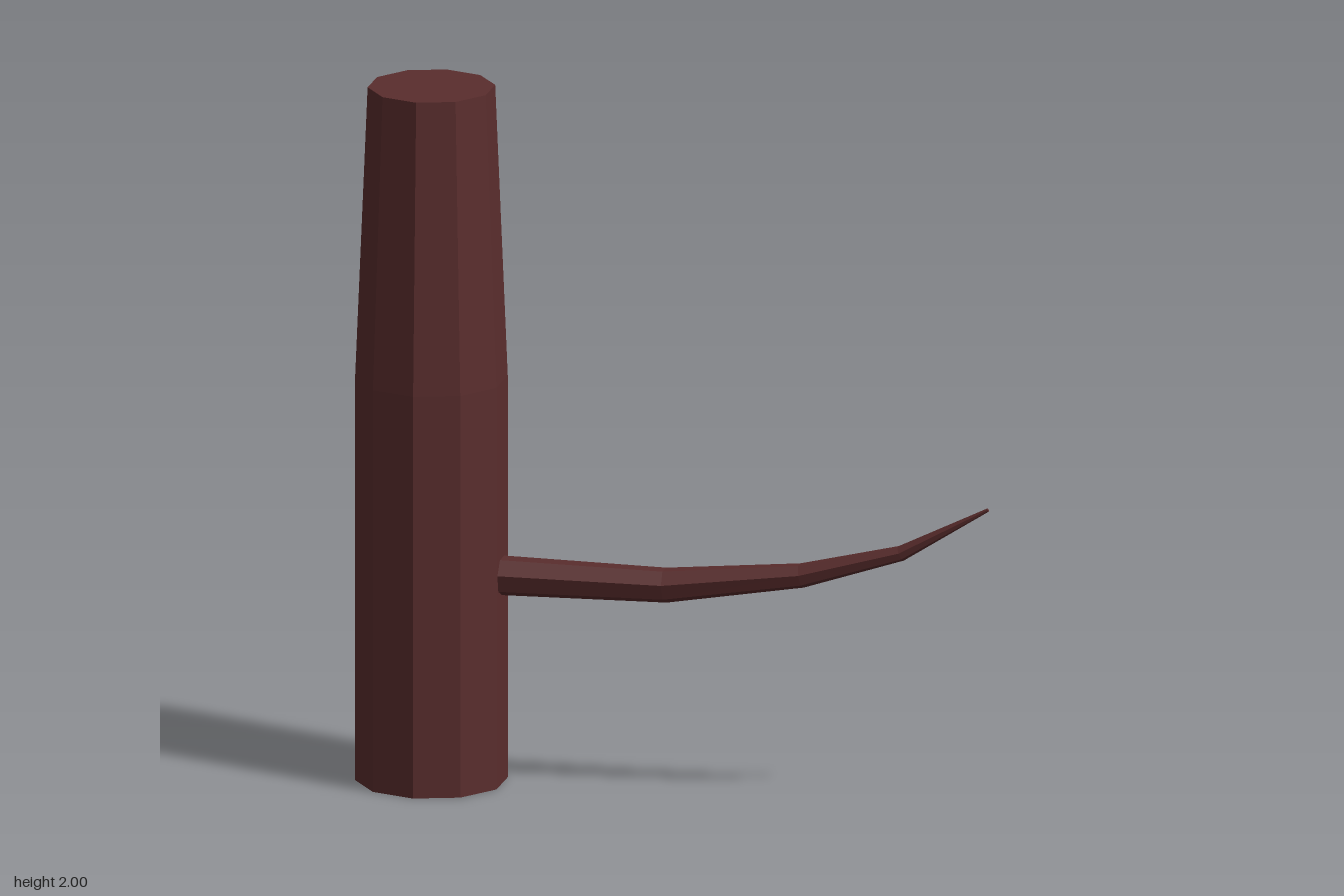
import * as THREE from 'three';

const darkWood = new THREE.MeshStandardMaterial({ color: 0x5a2d2d });

// Gives every face its own flat normal
function faceted(geometry) {
  const flat = geometry.index ? geometry.toNonIndexed() : geometry;
  flat.computeVertexNormals();
  return flat;
}

// Sweeps a tapering polygon along a path in the xy plane; stations are [x, y, radius]
function taperedSweep(stations, sides) {
  const centres = stations.map(([x, y]) => new THREE.Vector3(x, y, 0));
  const last = centres.length - 1;
  const rings = stations.map(([, , radius], i) => {
    const before = centres[Math.max(i - 1, 0)];
    const after = centres[Math.min(i + 1, last)];
    const t = after.clone().sub(before).normalize();
    return Array.from({ length: sides }, (_, j) => {
      const a = (j / sides) * Math.PI * 2;
      const up = -Math.cos(a) * radius;
      return new THREE.Vector3(-t.y * up, t.x * up, Math.sin(a) * radius).add(centres[i]);
    });
  });

  const points = [];
  for (let j = 0; j < sides; j++) {
    const k = (j + 1) % sides;
    for (let i = 0; i < last; i++) {
      const a = rings[i][j], b = rings[i + 1][j], c = rings[i + 1][k], d = rings[i][k];
      points.push(a, b, c, a, c, d);
    }
    points.push(centres[0], rings[0][j], rings[0][k]);
    points.push(centres[last], rings[last][k], rings[last][j]);
  }
  return faceted(new THREE.BufferGeometry().setFromPoints(points));
}

export function createModel() {
  const model = new THREE.Group();
  model.name = 'trunkWithBranch';

  // Ten-sided post: straight below, tapering above
  const profile = [[0, 0], [0.213, 0], [0.213, 1.16], [0.178, 2], [0, 2]]
    .map(([r, y]) => new THREE.Vector2(r, y));
  const trunk = new THREE.Mesh(faceted(new THREE.LatheGeometry(profile, 10)), darkWood);
  trunk.name = 'trunk';
  trunk.position.x = -0.7;
  model.add(trunk);

  // Seven-sided branch curving up to a narrow tip
  const branch = new THREE.Mesh(taperedSweep([
    [-0.52, 0.6, 0.057],
    [-0.03, 0.603, 0.05],
    [0.36, 0.657, 0.035],
    [0.645, 0.74, 0.022],
    [0.895, 0.882, 0.005],
  ], 7), darkWood);
  branch.name = 'branch';
  model.add(branch);

  return model;
}
